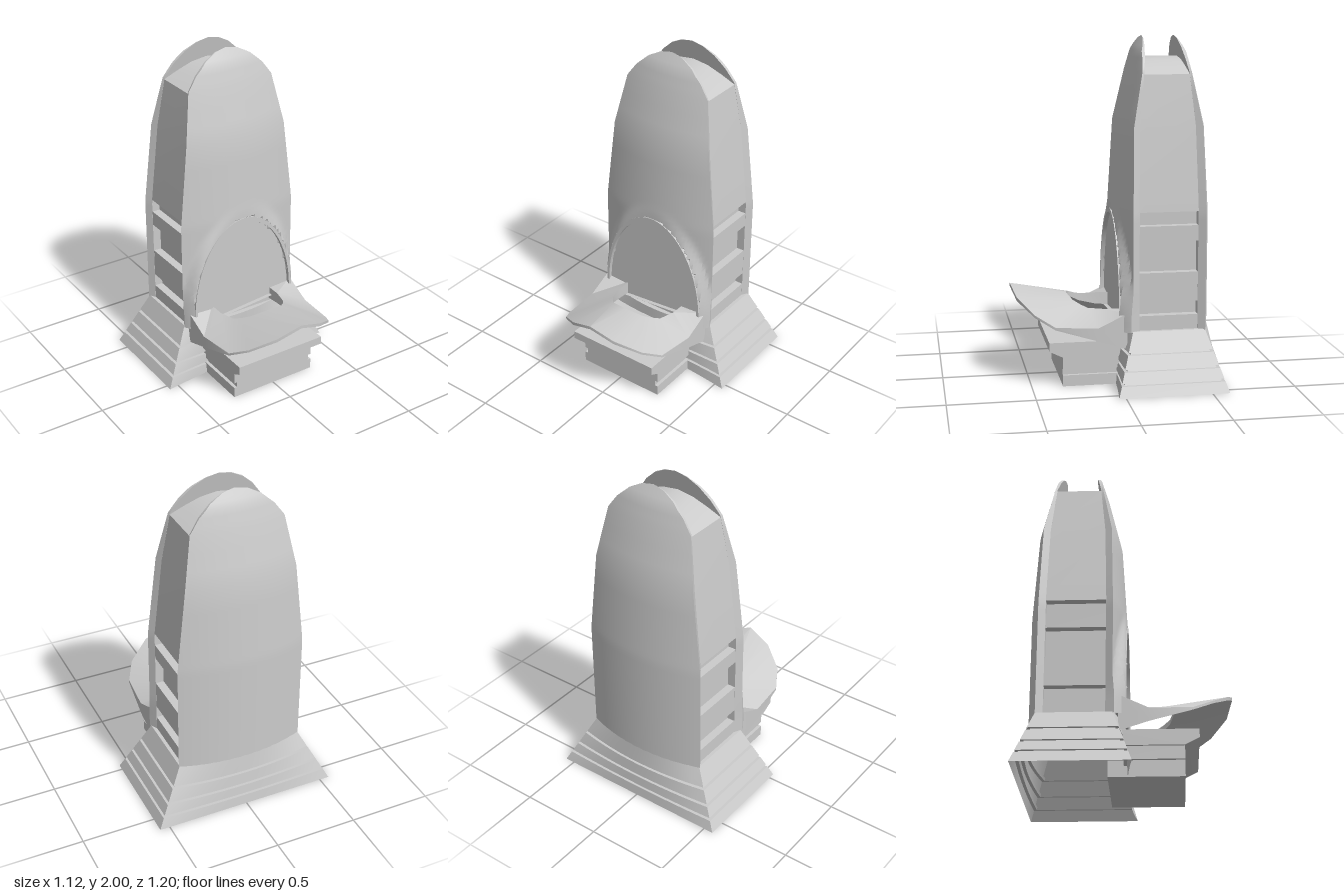
import * as THREE from 'three';
import { toCreasedNormals } from 'three/addons/utils/BufferGeometryUtils.js';

const material = new THREE.MeshStandardMaterial({ color: 0xcccccc, side: THREE.DoubleSide });

function add(group, name, geometry) {
  const mesh = new THREE.Mesh(toCreasedNormals(geometry, 0.5), material);
  mesh.name = name;
  group.add(mesh);
  return mesh;
}

// Closed skin through a stack of rings that all have the same number of points
function loft(rings) {
  const n = rings[0].length, index = [];
  for (let i = 0; i + 1 < rings.length; i++) {
    for (let j = 0; j < n; j++) {
      const a = i * n + j, b = i * n + (j + 1) % n;
      index.push(a, b, b + n, a, b + n, a + n);
    }
  }
  const geometry = new THREE.BufferGeometry();
  geometry.setAttribute('position', new THREE.Float32BufferAttribute(rings.flat(2), 3));
  geometry.setIndex(index);
  return geometry;
}

// Piecewise linear lookup in [key, value] pairs
function lookup(table, key) {
  let i = 1;
  while (i < table.length - 1 && key > table[i][0]) i++;
  const [k0, v0] = table[i - 1], [k1, v1] = table[i];
  return v0 + (v1 - v0) * THREE.MathUtils.clamp((key - k0) / (k1 - k0), 0, 1);
}

// Tower outline: half width, bow of the outer face, depth of the inner face, lip inset
const WIDTH = [[0.33, 0.39], [1, 0.39], [1.5, 0.335], [1.8, 0.28], [1.88, 0.222], [1.945, 0.15], [1.985, 0.075], [2, 0.001]];
const BOW = [[0.33, 0.28], [1, 0.28], [1.5, 0.25], [1.8, 0.178], [1.92, 0.142], [2, 0.095]];
const INNER = [[0.33, 0.17], [1, 0.17], [1.5, 0.16], [1.8, 0.13], [2, 0.095]];
const INSET = [[1, 0.025], [1.5, 0.02], [1.8, 0.005], [2, 0]];
const ARCH = { a: 0.35, b: 0.59, y: 0.4, foot: 0.34 };

// Leaf-shaped shell; the front one swells flat around the arch
function shell(hasArch) {
  const rows = [];
  for (let y = 0.33; y < 1.2; y += 0.03) rows.push(y);
  rows.push(1.25, 1.35, 1.5, 1.6, 1.7, 1.8, 1.84, 1.88, 1.915, 1.945, 1.965, 1.985, 2);
  const columns = 40;
  return loft(rows.map((y) => {
    const w = lookup(WIDTH, y), inner = lookup(INNER, y), ring = [];
    for (let j = 0; j <= columns; j++) {
      const x = w * (2 * j / columns - 1);
      let z = lookup(BOW, y) - 0.46 * x * x;
      if (hasArch) {
        const q = Math.hypot(x / ARCH.a, Math.max(y - ARCH.y, 0) / ARCH.b);
        z = q < 0.97 ? 0.25 : THREE.MathUtils.lerp(z, 0.28, 1 - THREE.MathUtils.smoothstep(q, 1, 1.15));
      }
      ring.push([x, y, z]);
    }
    const lip = w - lookup(INSET, y) * (w > 0.1 ? 1 : 0);
    ring.push([lip, y, inner], [-lip, y, inner]);
    return ring;
  }));
}

function archShape(scale) {
  const a = ARCH.a * scale, shape = new THREE.Shape();
  shape.moveTo(a, ARCH.foot);
  shape.absellipse(0, ARCH.y, a, ARCH.b * scale, 0, Math.PI, false, 0);
  shape.lineTo(-a, ARCH.foot);
  shape.closePath();
  return shape;
}

function extrude(shape, depth) {
  return new THREE.ExtrudeGeometry(shape, { depth, bevelEnabled: false, curveSegments: 24 });
}

// One level of the flared plinth: bowed at the top, straight-sided at the ground
function plinthRing(y, inset, shrink = 1) {
  const t = 1 - y / 0.335, ring = [], n = 12;
  const w = 0.385 + 0.175 * t - inset, edge = 0.21 + 0.11 * t - inset;
  for (const side of [1, -1]) {
    const centre = 0.28 + (side < 0 ? 0.04 * t : 0) - inset;
    for (let j = 0; j <= n; j++) {
      const s = 2 * j / n - 1;
      ring.push([side * s * w * shrink, y, side * (edge + (centre - edge) * (1 - s * s)) * shrink]);
    }
  }
  return ring;
}

function rectRing([y, w, d]) {
  return [[-w, y, d], [w, y, d], [w, y, -d], [-w, y, -d]];
}

export function createModel() {
  const model = new THREE.Group();
  model.name = 'tower';
  const tower = new THREE.Group();
  tower.name = 'towerBody';
  tower.position.z = -0.28;
  model.add(tower);

  // Curved front and back shells
  add(tower, 'frontShell', shell(true));
  add(tower, 'backShell', shell(false)).rotation.y = Math.PI;

  // Core with sloping side walls and an arched roof between the shells
  add(tower, 'core', loft([
    [0.33, 0.315, 0.172], [1.02, 0.315, 0.172], [1.02, 0.364, 0.172], [1.5, 0.315, 0.162],
    [1.79, 0.275, 0.133], [1.83, 0.19, 0.127], [1.865, 0.1, 0.122], [1.88, 0, 0.12],
  ].map(rectRing)));

  // Solid side bands that leave three recesses on each side
  for (const side of [1, -1]) {
    for (const [low, high] of [[0.33, 0.42], [0.5, 0.67], [0.85, 0.94]]) {
      const band = new THREE.BoxGeometry(0.06, high - low, 0.342);
      add(tower, 'sideBand', band).position.set(side * 0.334, (low + high) / 2, 0);
    }
  }

  // Arch frame and recessed panel
  const frame = archShape(1);
  frame.holes.push(archShape(0.955));
  add(tower, 'archFrame', extrude(frame, 0.06)).position.z = 0.224;
  add(tower, 'archPanel', extrude(archShape(0.965), 0.03)).position.z = 0.23;

  // Tiered plinth, hollow underneath, with a narrow groove between tiers
  const levels = [];
  for (const [low, high] of [[0, 0.06], [0.075, 0.13], [0.145, 0.215], [0.23, 0.335]]) {
    if (low > 0) levels.push(plinthRing(low, 0.018));
    levels.push(plinthRing(low, 0), plinthRing(high, 0));
    if (high < 0.33) levels.push(plinthRing(high, 0.018));
  }
  levels.push(plinthRing(0.335, 0, 0));
  add(tower, 'plinth', loft(levels));

  // Entrance podium with side grooves and an overhanging slab
  const podium = new THREE.Group();
  podium.name = 'podium';
  model.add(podium);
  for (const [low, high, w] of [[0, 0.065, 0.28], [0.065, 0.1, 0.26], [0.1, 0.18, 0.28]]) {
    add(podium, 'podiumBlock', new THREE.BoxGeometry(2 * w, high - low, 0.42))
      .position.set(0, (low + high) / 2, 0.11);
  }
  const slab = new THREE.Shape([[0.1, 0.265], [-0.4, 0.265], [-0.4, 0.215], [-0.32, 0.175], [0.1, 0.175]]
    .map(([x, y]) => new THREE.Vector2(x, y)));
  const slabMesh = add(podium, 'podiumSlab', extrude(slab, 0.59));
  slabMesh.rotation.y = Math.PI / 2;
  slabMesh.position.x = -0.295;

  // Swept canopy: half outline as [x, z, top, bottom] for the outer and inner rims
  const outer = [[0.37, -0.04, 0.44, 0.23], [0.37, 0.13, 0.36, 0.285], [0.35, 0.37, 0.37, 0.355],
    [0.285, 0.48, 0.43, 0.415], [0.15, 0.57, 0.505, 0.485], [0, 0.597, 0.56, 0.54]];
  const inner = [[0.205, -0.04, 0.43, 0.35], [0.205, 0.06, 0.43, 0.36], [0.18, 0.16, 0.435, 0.39],
    [0.15, 0.2, 0.45, 0.415], [0.11, 0.24, 0.47, 0.44], [0, 0.265, 0.49, 0.465]];
  const ribs = outer.map(([x, z, top, bottom], i) => {
    const [ix, iz, itop, ibottom] = inner[i];
    return [[x, bottom, z], [x, top, z], [ix, itop, iz], [ix, ibottom, iz]];
  });
  const mirrored = ribs.slice(0, -1).reverse().map((rib) => rib.map(([x, y, z]) => [-x, y, z]));
  const closeEnd = (rib) => rib.map(() => [0, 1, 2].map((k) => rib.reduce((sum, p) => sum + p[k] / 4, 0)));
  const all = [...ribs, ...mirrored];
  add(model, 'canopy', loft([closeEnd(all[0]), ...all, closeEnd(all[all.length - 1])]));

  return model;
}
